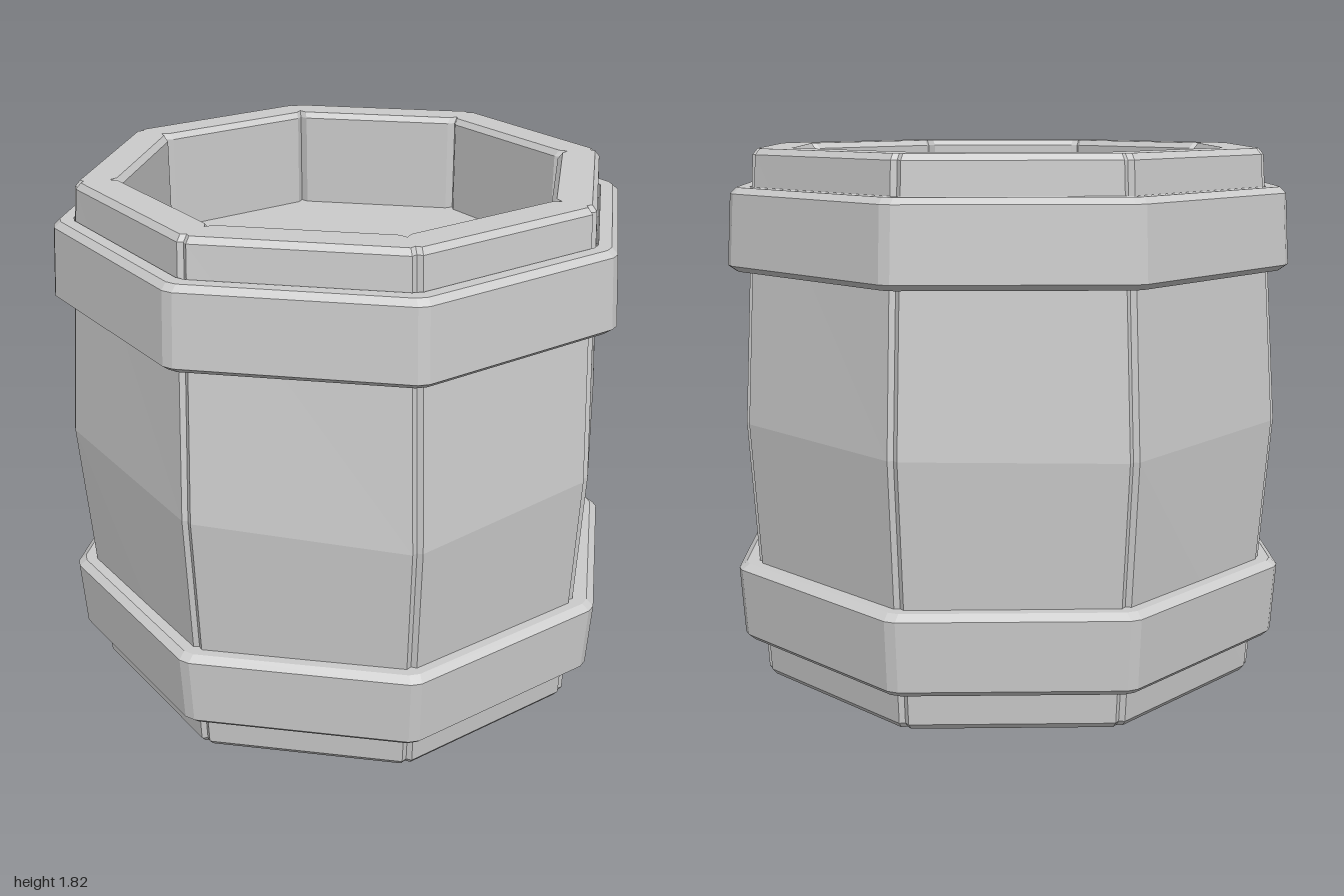
import * as THREE from 'three';

const material = new THREE.MeshStandardMaterial({ color: 0xcccccc, flatShading: true });
const v = (x, y, z) => new THREE.Vector3(x, y, z);
const corner = (i, r, y) => v(r * Math.cos(i * Math.PI / 4), y, r * Math.sin(i * Math.PI / 4));

// Skin a stack of equal-length rings; either cap the ends or join last to first
function loft(rings, wrap = false) {
  const pos = [];
  const tri = (...pts) => pts.forEach(p => pos.push(p.x, p.y, p.z));
  const n = rings[0].length;
  const last = wrap ? rings.length : rings.length - 1;
  for (let j = 0; j < last; j++) {
    const lo = rings[j], hi = rings[(j + 1) % rings.length];
    for (let k = 0; k < n; k++) {
      const m = (k + 1) % n;
      tri(lo[k], hi[k], hi[m]);
      tri(lo[k], hi[m], lo[m]);
    }
  }
  if (!wrap) {
    const bottom = rings[0], top = rings[rings.length - 1];
    const cb = centre(bottom), ct = centre(top);
    for (let k = 0; k < n; k++) {
      const m = (k + 1) % n;
      tri(cb, bottom[k], bottom[m]);
      tri(ct, top[m], top[k]);
    }
  }
  const g = new THREE.BufferGeometry();
  g.setAttribute('position', new THREE.Float32BufferAttribute(pos, 3));
  g.computeVertexNormals();
  return g;
}

function centre(pts) {
  return pts.reduce((s, p) => s.add(p), v(0, 0, 0)).divideScalar(pts.length);
}

// Replace every corner of a polygon by two points a distance c along its edges
function chamfer(pts, c) {
  const n = pts.length;
  const toward = (p, q) => p.clone().add(q.clone().sub(p).setLength(c));
  return pts.flatMap((p, i) => [toward(p, pts[(i + n - 1) % n]), toward(p, pts[(i + 1) % n])]);
}

// Slightly uneven corners of the bulge at mid height
const bulge = [
  [0.97, 0.92, -0.03], [0.65, 0.92, 0.72], [0, 0.87, 0.985], [-0.68, 0.92, 0.71],
  [-0.98, 0.95, 0], [-0.69, 0.92, -0.69], [0, 0.9, -0.98], [0.69, 0.91, -0.7],
].map(p => v(...p));

// One plank between corners i and i + 1, with bevelled edges and a bent middle
function staveGeometry(i) {
  const j = (i + 1) % 8;
  const section = (y, rOut, rIn) =>
    chamfer([corner(i, rOut, y), corner(j, rOut, y), corner(j, rIn, y), corner(i, rIn, y)], 0.018);
  const a = bulge[i], b = bulge[j];
  const middle = chamfer([a, b, corner(j, 0.76, b.y), corner(i, 0.76, a.y)], 0.018);
  return loft([
    section(0.01, 0.895, 0.775),
    section(0.03, 0.912, 0.758),
    middle,
    section(1.81, 0.912, 0.758),
    section(1.83, 0.895, 0.775),
  ]);
}

// Octagonal hoop: bevelled profile carried round a chamfered octagon
function hoopGeometry(mirror) {
  const profile = [
    [0.925, 1.43], [0.98, 1.43], [1.007, 1.45], [0.992, 1.685], [0.97, 1.705], [0.925, 1.705],
  ];
  const points = mirror ? profile.map(([r, y]) => [r, 1.855 - y]).reverse() : profile;
  const rings = points.map(([r, y]) =>
    chamfer(Array.from({ length: 8 }, (_, i) => corner(i, r, y)), 0.02));
  return loft(rings, true);
}

export function createModel() {
  const barrel = new THREE.Group();
  barrel.name = 'barrel';
  const add = (name, geometry) => {
    const mesh = new THREE.Mesh(geometry, material);
    mesh.name = name;
    barrel.add(mesh);
  };

  // Eight planks
  for (let i = 0; i < 8; i++) add(`stave${i + 1}`, staveGeometry(i));

  // Hoops
  add('upperHoop', hoopGeometry(false));
  add('lowerHoop', hoopGeometry(true));

  // Inner body closing the recessed lid and base
  const octagon = y => Array.from({ length: 8 }, (_, i) => corner(i, 0.78, y));
  add('lidAndBase', loft([octagon(0.1), octagon(1.48)]));

  return barrel;
}
